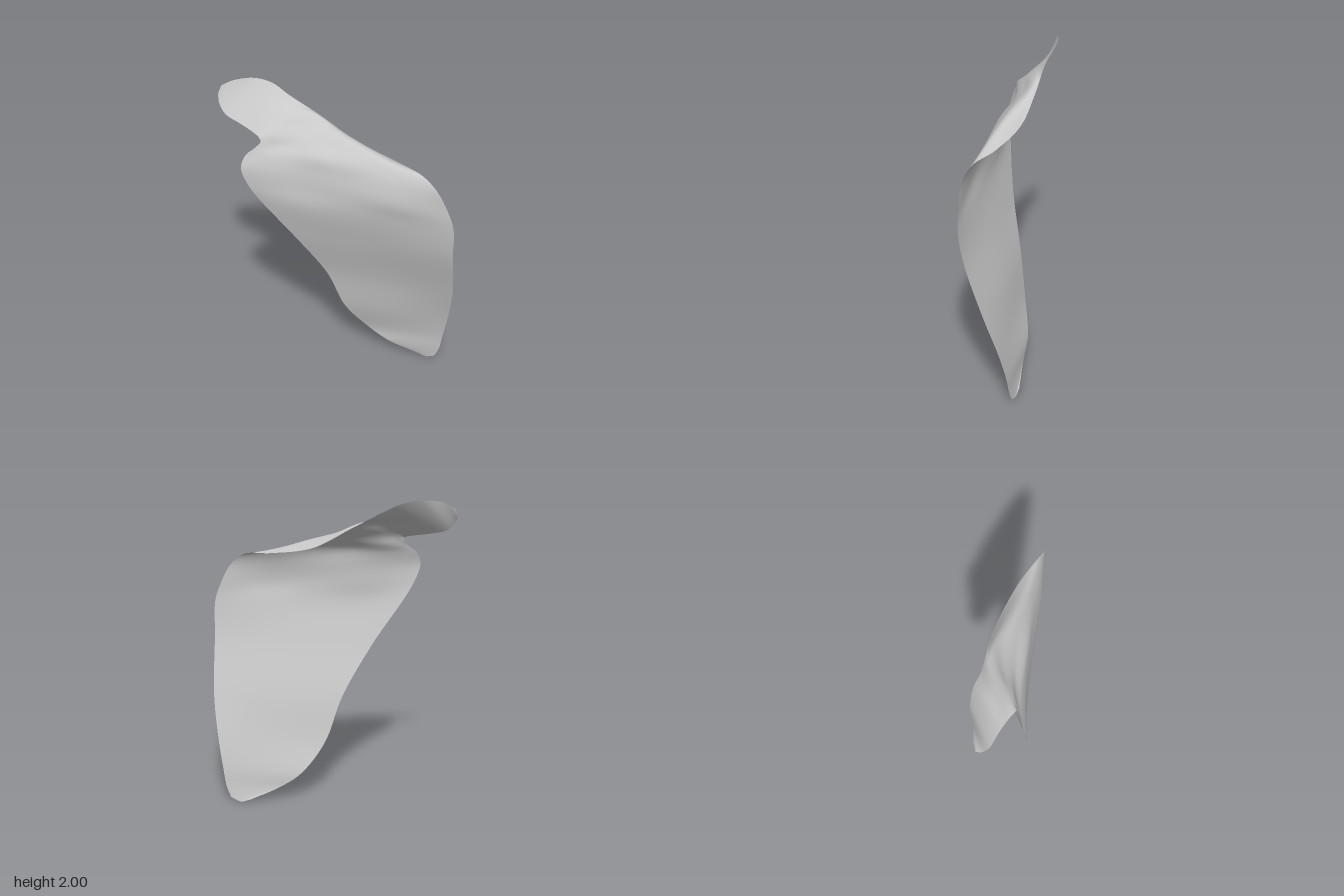
import * as THREE from 'three';

// Sections of the lower blade, from the bottom tip upwards: left edge to right edge
const blade = [
  [[0.35, 0.018, -0.395], [0.41, 0, -0.425], [0.47, 0.025, -0.45]],
  [[0.2, 0.1, -0.28], [0.5, 0.1, -0.458]],
  [[0.08, 0.2, -0.2], [0.525, 0.22, -0.458]],
  [[-0.02, 0.4, -0.07], [0.575, 0.42, -0.44]],
  [[-0.08, 0.69, 0.035], [0.285, 0.69, -0.187], [0.647, 0.7, -0.385]],
  [[-0.19, 1.02, 0.22], [0.26, 1.03, -0.053], [0.705, 1.06, -0.29]],
  [[-0.32, 1.3, 0.38], [0.2, 1.29, 0.056], [0.72, 1.28, -0.26]],
];

// Sections of the shoulder, fanning round until they cross the rolled top edge
const shoulder = [
  [[-0.37, 1.42, 0.435], [-0.1, 1.42, 0.24], [0.15, 1.42, 0.095], [0.42, 1.41, -0.055], [0.69, 1.4, -0.235]],
  [[-0.4, 1.54, 0.46], [-0.15, 1.54, 0.262], [0.1, 1.54, 0.11], [0.38, 1.54, -0.055], [0.63, 1.53, -0.2]],
  [[-0.39, 1.62, 0.425], [-0.2, 1.625, 0.27], [0.02, 1.64, 0.135], [0.32, 1.625, -0.06], [0.53, 1.605, -0.18]],
  [[-0.36, 1.66, 0.385], [-0.24, 1.685, 0.255], [-0.08, 1.715, 0.12], [0.15, 1.71, -0.03], [0.33, 1.63, -0.165]],
  [[-0.34, 1.7, 0.345], [-0.29, 1.74, 0.275], [-0.21, 1.785, 0.14], [-0.06, 1.78, 0], [0.05, 1.685, -0.1]],
  [[-0.35, 1.725, 0.345], [-0.32, 1.78, 0.26], [-0.27, 1.83, 0.155], [-0.21, 1.85, 0.045], [-0.17, 1.815, -0.005]],
];

// Sections of the tab, out to its rounded end: lower edge to upper edge
const tab = [
  [[-0.42, 1.745, 0.345], [-0.39, 1.845, 0.225], [-0.35, 1.925, 0.09]],
  [[-0.52, 1.765, 0.355], [-0.46, 1.98, 0.125]],
  [[-0.63, 1.795, 0.375], [-0.56, 2, 0.185]],
  [[-0.69, 1.85, 0.37], [-0.65, 1.985, 0.28]],
  [[-0.72, 1.895, 0.35], [-0.71, 1.945, 0.33]],
];

// Smooth loft through the sections
function loft(rows, across, along) {
  const curves = rows.map(r => new THREE.CatmullRomCurve3(r.map(p => new THREE.Vector3(...p))));
  const columns = [];
  for (let j = 0; j <= across; j++) {
    const line = new THREE.CatmullRomCurve3(curves.map(c => c.getPoint(j / across)));
    columns.push(line.getPoints(along));
  }
  const positions = [], index = [], w = across + 1;
  for (let i = 0; i <= along; i++) {
    for (let j = 0; j <= across; j++) {
      positions.push(...columns[j][i].toArray());
      if (i < along && j < across) {
        const a = i * w + j;
        index.push(a, a + 1, a + w, a + 1, a + w + 1, a + w);
      }
    }
  }
  const geometry = new THREE.BufferGeometry();
  geometry.setAttribute('position', new THREE.Float32BufferAttribute(positions, 3));
  geometry.setIndex(index);
  geometry.computeVertexNormals();
  return geometry;
}

export function createModel() {
  const group = new THREE.Group();
  group.name = 'curvedSheet';

  const grey = new THREE.MeshStandardMaterial({ color: 0xc8c8c8, side: THREE.DoubleSide });
  grey.name = 'light grey';

  // One continuous draped sheet with a rolled top edge and a side tab
  const sheet = new THREE.Mesh(loft([...blade, ...shoulder, ...tab], 32, 136), grey);
  sheet.name = 'sheet';
  group.add(sheet);
  return group;
}
